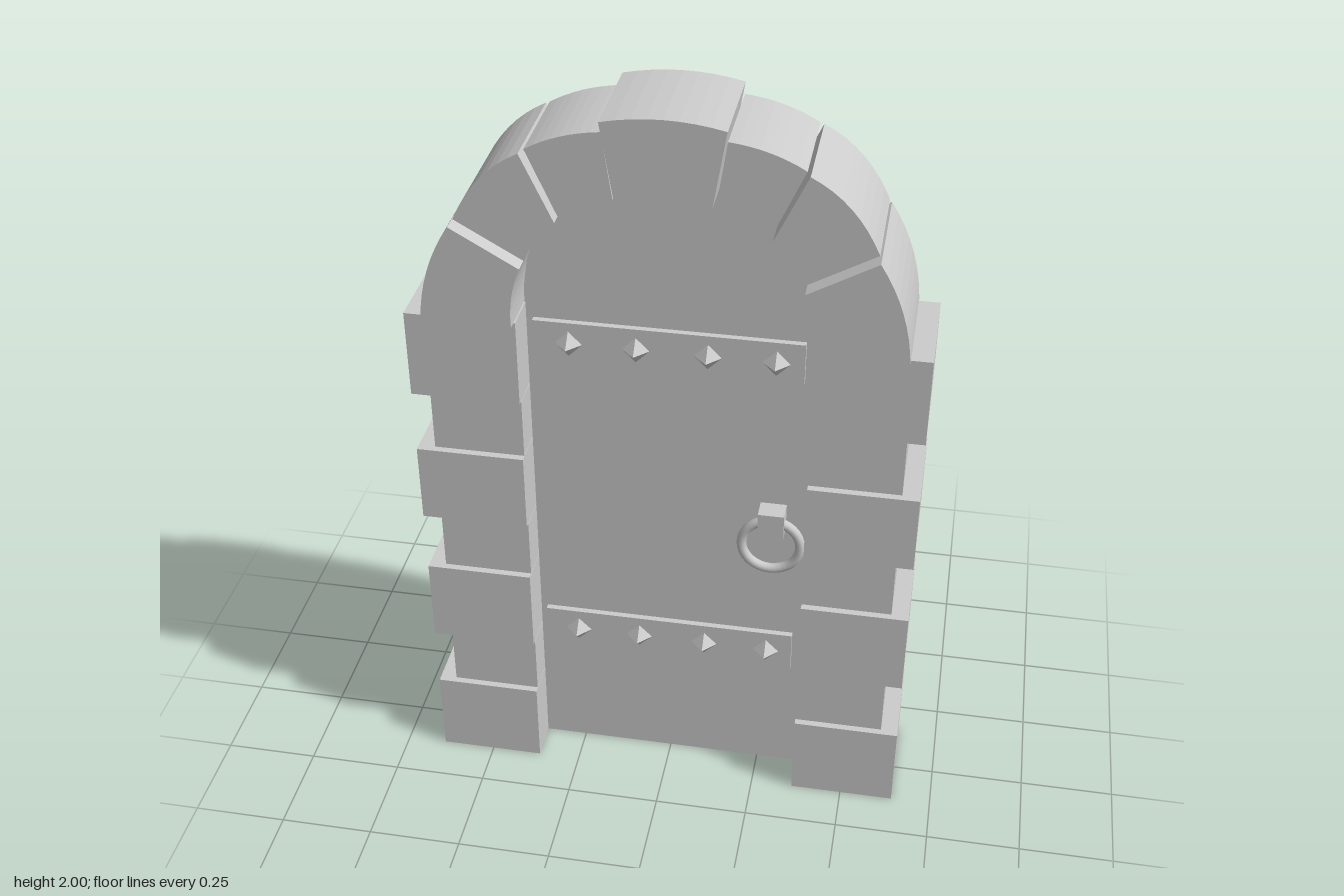
import * as THREE from 'three';

const material = new THREE.MeshStandardMaterial({ color: 0xcccccc, flatShading: true });
const smooth = new THREE.MeshStandardMaterial({ color: 0xcccccc });

export function createModel() {
  const group = new THREE.Group();

  const add = (name, geometry, mat = material) => {
    const mesh = new THREE.Mesh(geometry, mat);
    mesh.name = name;
    group.add(mesh);
    return mesh;
  };

  // Box given by its limits on each axis
  const box = (name, x0, x1, y0, y1, z0, z1) =>
    add(name, new THREE.BoxGeometry(x1 - x0, y1 - y0, z1 - z0))
      .position.set((x0 + x1) / 2, (y0 + y1) / 2, (z0 + z1) / 2);

  // Shape extruded between two depths
  const slab = (name, shape, z0, z1) => {
    const geometry = new THREE.ExtrudeGeometry(shape, { depth: z1 - z0, bevelEnabled: false, curveSegments: 8 });
    add(name, geometry.translate(0, 0, z0));
  };

  // Arch stone: outer and inner edges are each [start, middle, end], curved through the middle
  const archStone = (name, outer, inner, z1, side = 1) => {
    const shape = new THREE.Shape();
    const curve = ([a, m, b]) => shape.quadraticCurveTo(
      side * (2 * m[0] - (a[0] + b[0]) / 2), 2 * m[1] - (a[1] + b[1]) / 2, side * b[0], b[1]);
    shape.moveTo(side * outer[0][0], outer[0][1]);
    curve(outer);
    shape.lineTo(side * inner[2][0], inner[2][1]);
    curve([...inner].reverse());
    shape.closePath();
    slab(name, shape, -0.155, z1);
  };

  const wideRows = [[0, 0.24], [0.415, 0.65], [0.82, 1.035], [1.205, 1.44]];
  const narrowRows = [[0.243, 0.412], [0.653, 0.817], [1.038, 1.202]];

  for (const side of [-1, 1]) {
    // Jamb blocks, alternating wide and narrow
    const block = (name, width, [y0, y1], z0, z1) => {
      const edges = [side * 0.363, side * width].sort((a, b) => a - b);
      box(name, edges[0], edges[1], y0, y1, z0, z1);
    };
    wideRows.forEach((row) => block('wideJambBlock', 0.643, row, -0.155, 0.125));
    narrowRows.forEach((row) => block('narrowJambBlock', 0.598, row, -0.14, 0.11));

    // Three arch stones, from the springing up to the keystone
    archStone('lowerArchStone',
      [[0.59, 1.445], [0.564, 1.582], [0.505, 1.704]],
      [[0.365, 1.445], [0.36, 1.53], [0.337, 1.608]], 0.155, side);
    archStone('middleArchStone',
      [[0.5, 1.71], [0.43, 1.82], [0.334, 1.892]],
      [[0.333, 1.615], [0.3, 1.678], [0.255, 1.722]], 0.125, side);
    archStone('upperArchStone',
      [[0.325, 1.895], [0.24, 1.933], [0.145, 1.952]],
      [[0.25, 1.727], [0.19, 1.764], [0.12, 1.785]], 0.106, side);
  }

  archStone('keystone',
    [[0.146, 1.983], [0, 2], [-0.146, 1.983]],
    [[0.114, 1.79], [0, 1.817], [-0.114, 1.79]], 0.121);

  // Door leaf, its arched edge tucked inside the stones
  const half = [[0.37, 0], [0.37, 1.45], [0.345, 1.62], [0.26, 1.735], [0.12, 1.81]];
  const outline = [...half, [0, 1.83], ...half.map(([x, y]) => [-x, y]).reverse()];
  slab('door', new THREE.Shape(outline.map(([x, y]) => new THREE.Vector2(x, y))), -0.05, 0.02);

  // Iron bands with pyramid studs
  for (const y of [0.415, 1.34]) {
    box('doorBand', -0.345, 0.335, y - 0.059, y + 0.059, 0.01, 0.036);
    for (const x of [-0.255, -0.085, 0.095, 0.265]) {
      const stud = new THREE.ConeGeometry(0.035, 0.036, 4).rotateX(Math.PI / 2);
      add('bandStud', stud).position.set(x, y, 0.054);
    }
  }

  // Pull ring hanging from its bracket
  add('pullRing', new THREE.TorusGeometry(0.077, 0.013, 12, 32), smooth).position.set(0.27, 0.795, 0.054);
  box('ringBracket', 0.236, 0.304, 0.832, 0.903, 0.01, 0.075);

  return group;
}
